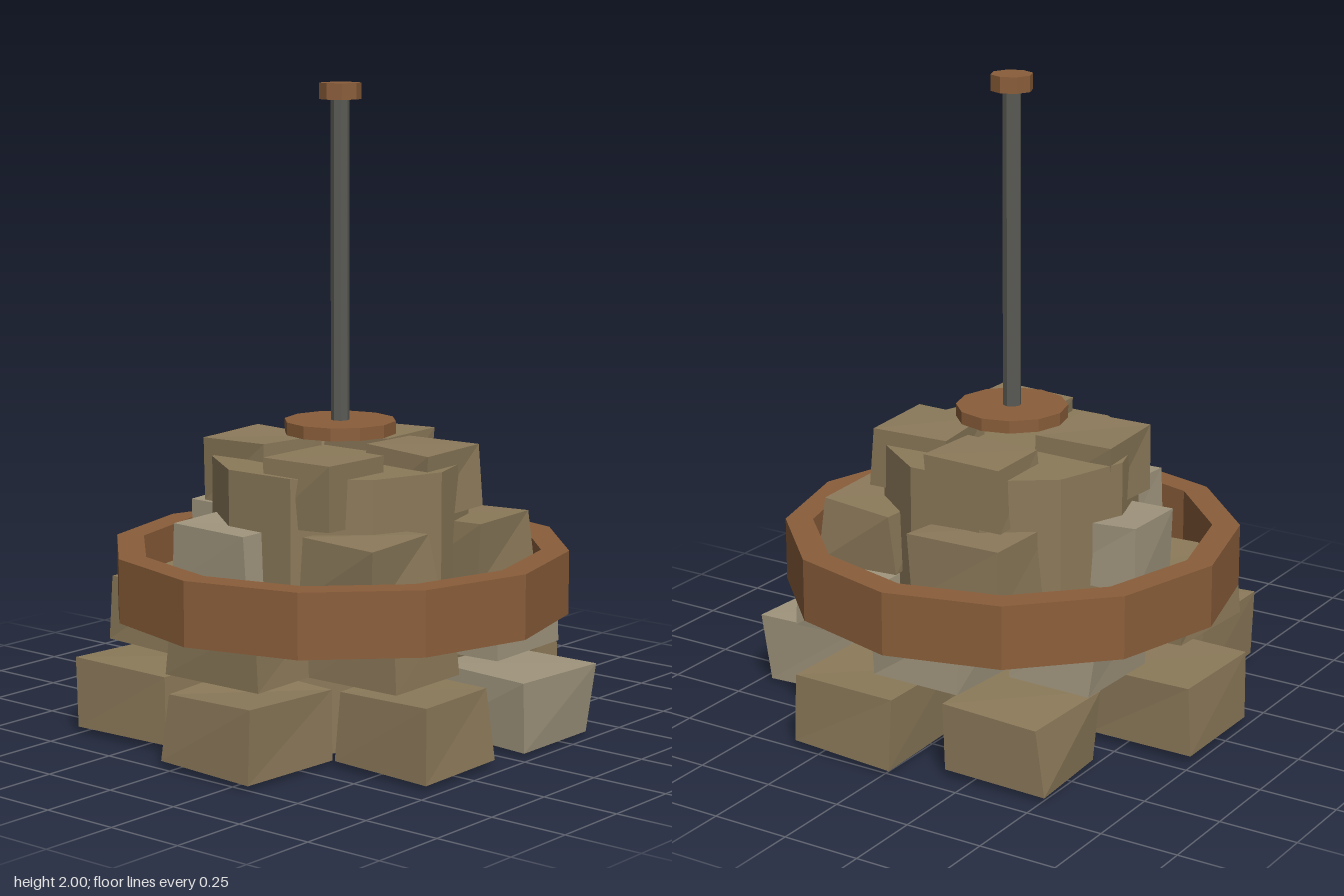
import * as THREE from 'three';

const AXIS = [0.02, -0.013]; // shared axis of core, band, rod (x, z)

function makeMaterial(name, color) {
  const m = new THREE.MeshStandardMaterial({ color, flatShading: true });
  m.name = name;
  return m;
}

function seeded(seed) {
  let s = seed;
  return () => {
    s = (s * 16807) % 2147483647;
    return s / 2147483647;
  };
}

// Rough block: a box whose eight corners are nudged slightly
function stoneGeometry(x0, x1, y0, y1, z0, z1, rand) {
  const g = new THREE.BoxGeometry(x1 - x0, y1 - y0, z1 - z0);
  const p = g.attributes.position;
  const nudges = {};
  for (let i = 0; i < p.count; i++) {
    const key = [p.getX(i) > 0, p.getY(i) > 0, p.getZ(i) > 0].join();
    nudges[key] ??= [0, 1, 2].map(() => (rand() - 0.5) * 0.032);
    const n = nudges[key];
    p.setXYZ(i, p.getX(i) + n[0], p.getY(i) + n[1] * 0.6, p.getZ(i) + n[2]);
  }
  g.translate((x0 + x1) / 2, (y0 + y1) / 2, (z0 + z1) / 2);
  g.computeVertexNormals();
  return g;
}

export function createModel() {
  const group = new THREE.Group();
  const tan = makeMaterial('tan stone', 0x8c7a5a);
  const grey = makeMaterial('pale stone', 0xa0957d);
  const rust = makeMaterial('rusty metal', 0x8b5e3a);
  const steel = makeMaterial('dark steel', 0x5a5a55);
  const rand = seeded(4711);

  const addCylinder = (name, r, y0, y1, sides, mat) => {
    const mesh = new THREE.Mesh(new THREE.CylinderGeometry(r, r, y1 - y0, sides), mat);
    mesh.rotation.y = Math.PI / 2;
    mesh.position.set(AXIS[0], (y0 + y1) / 2, AXIS[1]);
    mesh.name = name;
    group.add(mesh);
  };

  // Central pillar, rod and caps
  addCylinder('core', 0.4, 0, 0.84, 10, tan);
  addCylinder('collarDisc', 0.175, 0.92, 0.96, 12, rust);
  addCylinder('rod', 0.029, 0.93, 1.97, 8, steel);
  addCylinder('topKnob', 0.065, 1.95, 2, 8, rust);

  // Twelve-sided band around the stones
  const profile = [[0.63, 0.37], [0.717, 0.37], [0.717, 0.57], [0.63, 0.57], [0.63, 0.37]];
  const band = new THREE.Mesh(
    new THREE.LatheGeometry(profile.map(([r, y]) => new THREE.Vector2(r, y)), 12), rust);
  band.position.set(AXIS[0], 0, AXIS[1]);
  band.name = 'metalBand';
  group.add(band);

  // Stone courses; each stone is [x0, x1, z0, z1], pale lists the lighter ones
  const courses = [
    { y: [0.015, 0.232], pale: [4], stones: [
      [-0.73, -0.38, -0.21, 0.16], [-0.505, -0.15, 0.28, 0.61], [-0.04, 0.31, 0.39, 0.735],
      [0.365, 0.705, 0.1, 0.41], [0.385, 0.725, -0.38, -0.04], [-0.01, 0.335, -0.745, -0.4],
      [-0.495, -0.15, -0.675, -0.34]] },
    { y: [0.25, 0.455], pale: [0, 1, 5], stones: [
      [-0.19, 0.125, -0.64, -0.33], [-0.53, -0.22, -0.42, -0.1], [-0.565, -0.25, 0.05, 0.41],
      [-0.115, 0.235, 0.31, 0.64], [0.24, 0.575, 0.1, 0.4], [0.23, 0.56, -0.44, -0.12]] },
    { y: [0.47, 0.67], pale: [3, 4], stones: [
      [-0.25, 0.065, -0.525, -0.22], [0.215, 0.485, -0.39, -0.125], [0.2, 0.485, 0.1, 0.39],
      [-0.265, 0.03, 0.18, 0.46], [-0.485, -0.19, -0.125, 0.14]] },
    { y: [0.69, 0.893], pale: [], stones: [
      [-0.18, 0.08, -0.395, -0.15], [0.12, 0.385, -0.25, 0.005],
      [0.02, 0.285, 0.09, 0.35], [-0.36, -0.1, -0.065, 0.205]] },
  ];
  courses.forEach(({ y, pale, stones }, c) => {
    const course = new THREE.Group();
    course.name = `stoneCourse${c + 1}`;
    stones.forEach(([x0, x1, z0, z1], i) => {
      const mesh = new THREE.Mesh(
        stoneGeometry(x0, x1, y[0], y[1], z0, z1, rand), pale.includes(i) ? grey : tan);
      mesh.name = `stone${i + 1}`;
      course.add(mesh);
    });
    group.add(course);
  });

  return group;
}
